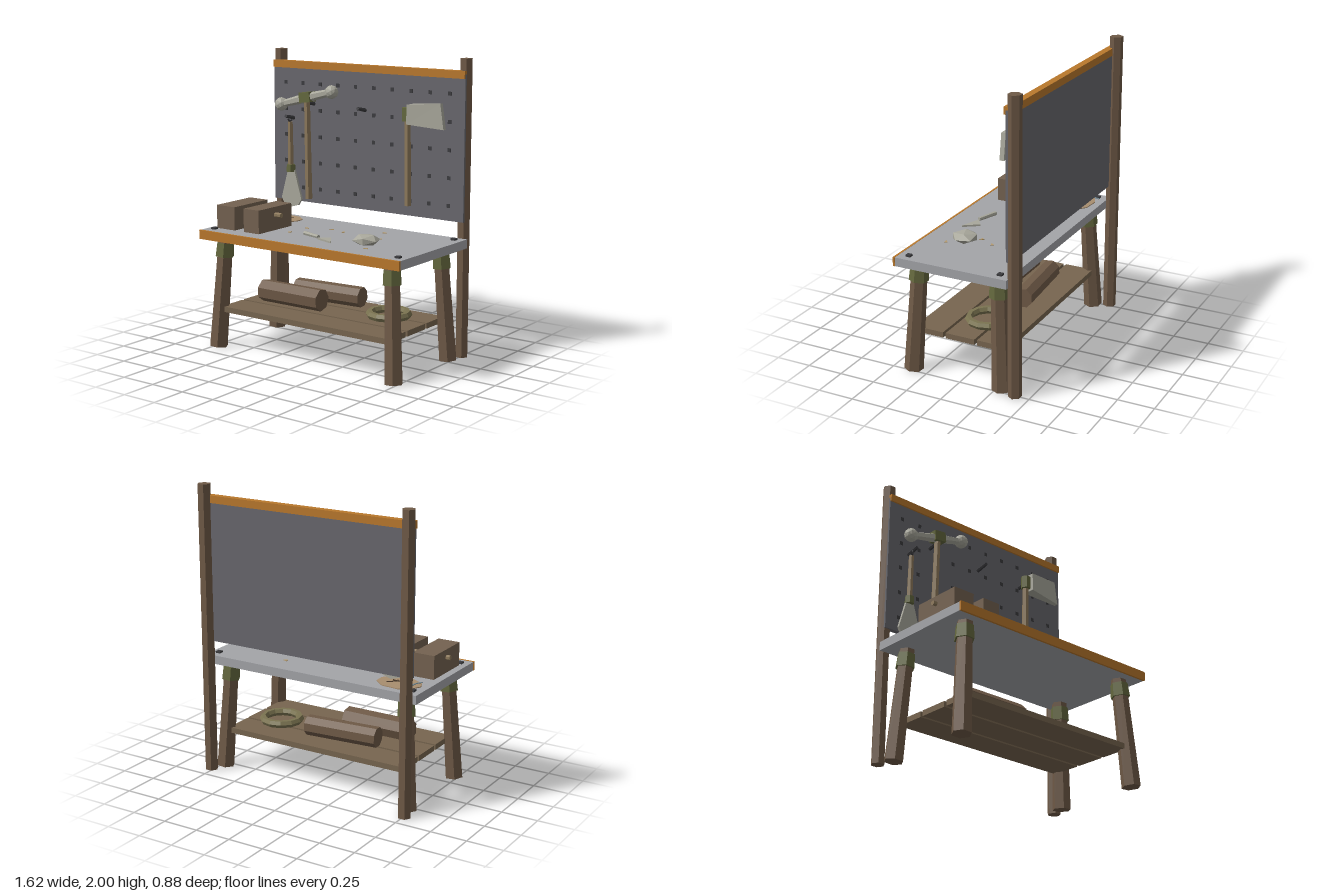
import * as THREE from 'three';

const COLORS = {
  wood: 0x6f5a47, plank: 0x77654f, block: 0x746250, handle: 0x8e7a5c, panel: 0x68676d, slab: 0xa3a4a8,
  trim: 0xb9782c, strap: 0x64683e, metal: 0xa9a89c, iron: 0x3b3b3e, coil: 0x7a7350,
  paper: 0xa88e6f, ink: 0x4a3a2c, river: 0x6d828c, shaving: 0xb49a6c,
};
const mats = {};
for (const k in COLORS) mats[k] = new THREE.MeshStandardMaterial({ color: COLORS[k], flatShading: true });

const V = (p) => new THREE.Vector3(...p);

export function createModel() {
  const root = new THREE.Group();
  root.name = 'workbench';

  const add = (name, geo, mat, pos = [0, 0, 0], parent = root) => {
    const m = new THREE.Mesh(geo, mats[mat]);
    m.name = name;
    m.position.set(...pos);
    parent.add(m);
    return m;
  };
  // Box given by its min and max corners
  const box = (name, mat, a, b, parent) => add(name,
    new THREE.BoxGeometry(b[0] - a[0], b[1] - a[1], b[2] - a[2]), mat,
    a.map((v, i) => (v + b[i]) / 2), parent);
  // Tapered prism running from point a to point b
  const rod = (name, mat, a, b, ra, rb = ra, sides = 6, parent = root) => {
    const A = V(a), d = V(b).sub(A), len = d.length();
    const geo = new THREE.CylinderGeometry(rb, ra, len, sides).rotateY(Math.PI / 6);
    const m = add(name, geo, mat, A.addScaledVector(d, 0.5).toArray(), parent);
    m.quaternion.setFromUnitVectors(new THREE.Vector3(0, 1, 0), d.normalize());
    return m;
  };
  // Extruded outline lying flat; points are [x, z]
  const flat = (name, mat, pts, y, h, parent) => {
    const shape = new THREE.Shape(pts.map(([x, z]) => new THREE.Vector2(x, -z)));
    const geo = new THREE.ExtrudeGeometry(shape, { depth: h, bevelEnabled: false }).rotateX(-Math.PI / 2);
    return add(name, geo, mat, [0, y, 0], parent);
  };
  const group = (name) => {
    const g = new THREE.Group();
    g.name = name;
    root.add(g);
    return g;
  };

  // Table top with a front edge strip and corner bolts
  box('tableTop', 'slab', [-0.81, 0.76, -0.37], [0.81, 0.82, 0.425]);
  box('frontEdge', 'trim', [-0.812, 0.759, 0.425], [0.812, 0.821, 0.44]);
  for (const x of [-0.75, 0.75]) for (const z of [-0.3, 0.355])
    box('bolt', 'iron', [x - 0.017, 0.815, z - 0.017], [x + 0.017, 0.832, z + 0.017]);

  // Splayed legs with strap collars
  const midZ = 0.033;
  for (const sx of [-1, 1]) for (const sz of [-1, 1]) {
    const at = (t, y) => [sx * (0.723 - 0.045 * t), y, midZ + sz * (0.325 - 0.04 * t)];
    rod('leg', 'wood', at(0, 0.006), at(1, 0.775), 0.064, 0.052);
    rod('legCollar', 'strap', at(0.82, 0.635), at(0.94, 0.73), 0.066, 0.06);
  }

  // Lower shelf planks
  for (const dz of [-0.23, 0, 0.23])
    box('shelfPlank', 'plank', [-0.68, 0.255, midZ + dz - 0.105], [0.68, 0.293, midZ + dz + 0.105]);

  // Back posts and pegboard
  for (const sx of [-1, 1])
    rod('backPost', 'wood', [sx * 0.76, 0.006, -0.405], [sx * 0.76, 2, -0.405], 0.045);
  box('pegboard', 'panel', [-0.785, 0.93, -0.39], [0.785, 1.9, -0.355]);
  box('pegboardTrim', 'trim', [-0.785, 1.872, -0.392], [0.785, 1.922, -0.343]);
  const holes = group('pegHoles');
  for (let i = 0; i < 10; i++) for (let j = 0; j < 5; j++) {
    const x = -0.68 + i * 0.15, y = 1.03 + j * 0.185;
    box('pegHole', 'iron', [x - 0.013, y - 0.013, -0.358], [x + 0.013, y + 0.013, -0.353], holes);
  }
  for (const [x, y] of [[-0.615, 1.52], [-0.435, 1.63], [0, 1.615], [0.39, 1.61]])
    rod('hook', 'iron', [x, y, -0.36], [x, y + 0.02, -0.265], 0.014, 0.012);

  // Logs and coil on the shelf
  rod('frontLog', 'wood', [-0.525, 0.378, 0.1], [-0.03, 0.378, 0.1], 0.077, 0.077, 7);
  rod('backLog', 'wood', [-0.39, 0.372, -0.105], [0.13, 0.372, -0.145], 0.07, 0.07, 8);
  add('coil', new THREE.TorusGeometry(0.128, 0.027, 6, 12).rotateX(Math.PI / 2), 'coil', [0.42, 0.328, -0.037]);

  // Clamp: two jaws on a bar
  const clamp = group('clamp');
  box('outerJaw', 'block', [-0.76, 0.82, -0.04], [-0.605, 0.98, 0.313], clamp);
  box('innerJaw', 'block', [-0.525, 0.82, -0.04], [-0.395, 0.98, 0.313], clamp);
  rod('clampBar', 'handle', [-0.787, 0.925, 0.133], [-0.343, 0.925, 0.133], 0.017, 0.017, 6, clamp);

  // Stone
  const stone = add('stone', new THREE.IcosahedronGeometry(0.094, 0), 'metal', [0.37, 0.853, 0.157]);
  stone.scale.y = 0.42;
  stone.rotation.y = 0.3;

  // Trowel lying on the table
  const trowel = group('trowel');
  rod('trowelHandle', 'metal', [-0.108, 0.843, 0.182], [0.04, 0.843, 0.23], 0.015, 0.013, 6, trowel);
  flat('trowelBlade', 'metal', [[0.035, 0.235], [0.108, 0.182], [0.18, 0.285]], 0.826, 0.012, trowel);

  // Paper map with route, cross and river
  const map = group('map');
  flat('paper', 'paper', [[-0.76, -0.21], [-0.735, -0.15], [-0.68, -0.125], [-0.64, -0.102], [-0.54, -0.1],
    [-0.495, -0.125], [-0.455, -0.18], [-0.458, -0.25], [-0.53, -0.31], [-0.65, -0.32], [-0.72, -0.29]],
  0.82, 0.006, map);
  const line = (name, mat, pts, w) => {
    for (let i = 1; i < pts.length; i++) {
      const [a, b] = [pts[i - 1], pts[i]];
      const l = Math.hypot(b[0] - a[0], b[1] - a[1]);
      const m = add(name, new THREE.BoxGeometry(l, 0.003, w), mat,
        [(a[0] + b[0]) / 2, 0.8275, (a[1] + b[1]) / 2], map);
      m.rotation.y = -Math.atan2(b[1] - a[1], b[0] - a[0]);
    }
  };
  line('route', 'ink', [[-0.64, -0.14], [-0.61, -0.18], [-0.57, -0.215], [-0.53, -0.245]], 0.006);
  line('cross', 'ink', [[-0.59, -0.205], [-0.545, -0.185]], 0.006);
  line('cross', 'ink', [[-0.58, -0.178], [-0.555, -0.21]], 0.006);
  line('river', 'river', [[-0.715, -0.325], [-0.725, -0.285], [-0.7, -0.235], [-0.705, -0.185], [-0.73, -0.14]], 0.014);

  // Wood shavings
  const chips = group('shavings');
  [[0.265, -0.21], [-0.085, -0.09], [0.025, -0.07], [-0.255, -0.035], [0.35, -0.03], [-0.265, 0.14],
    [0.3, 0.07], [0.44, 0.26]].forEach(([x, z], i) => {
    const a = i * 2.2, p = (t, r) => [x + r * Math.cos(a + t), z + r * Math.sin(a + t)];
    flat('shaving', 'shaving', [p(0, 0.02), p(2.3, 0.016), p(3.8, 0.016)], 0.82, 0.005, chips);
  });

  // Double-ended hammer, head tilted on its hook
  const hammer = group('hammer');
  const hz = -0.275, c = [-0.435, 1.68, hz];
  rod('hammerHandle', 'handle', [-0.435, 0.97, -0.293], [-0.435, 1.67, hz], 0.026, 0.022, 6, hammer);
  const collar = box('hammerCollar', 'strap', [-0.48, 1.65, hz - 0.036], [-0.39, 1.72, hz + 0.036], hammer);
  collar.rotation.z = 0.12;
  for (const end of [[-0.66, 1.622, hz], [-0.225, 1.732, hz]]) {
    rod('hammerArm', 'metal', c, end, 0.034, 0.024, 6, hammer);
    add('hammerBall', new THREE.IcosahedronGeometry(0.048, 1), 'metal', end, hammer);
  }

  // Axe with a wedge that thins and widens toward its edge
  const axe = group('axe');
  rod('axeHandle', 'handle', [0.39, 1.01, -0.295], [0.39, 1.6, -0.285], 0.025, 0.022, 6, axe);
  rod('axeCollar', 'strap', [0.388, 1.578, -0.28], [0.388, 1.668, -0.28], 0.036, 0.036, 6, axe);
  const wedge = new THREE.BoxGeometry(1, 1, 1);
  const P = wedge.attributes.position;
  for (let i = 0; i < P.count; i++) {
    const edge = P.getX(i) > 0, top = P.getY(i) > 0;
    P.setXYZ(i, edge ? (top ? 0.656 : 0.682) : 0.413,
      edge ? (top ? 1.712 : 1.542) : (top ? 1.692 : 1.562),
      -0.275 + P.getZ(i) * (edge ? 0.03 : 0.085));
  }
  add('axeBlade', wedge, 'metal', [0, 0, 0], axe);

  // Spade hung by a loop
  const spade = group('spade');
  rod('spadeHandle', 'handle', [-0.618, 1.17, -0.325], [-0.618, 1.495, -0.32], 0.021, 0.018, 6, spade);
  add('spadeLoop', new THREE.TorusGeometry(0.018, 0.007, 5, 8).rotateY(Math.PI / 2.4), 'iron', [-0.618, 1.518, -0.318], spade);
  rod('spadeCollar', 'strap', [-0.618, 1.14, -0.325], [-0.618, 1.192, -0.325], 0.034, 0.032, 6, spade);
  const outline = [[-0.028, 1.155], [-0.085, 0.95], [-0.06, 0.905], [0, 0.888], [0.06, 0.905], [0.09, 0.95], [0.028, 1.155]];
  const blade = new THREE.Shape(outline.map(([x, y]) => new THREE.Vector2(x - 0.614, y)));
  add('spadeBlade', new THREE.ExtrudeGeometry(blade, { depth: 0.018, bevelEnabled: false }), 'metal', [0, 0, -0.339], spade);

  return root;
}
